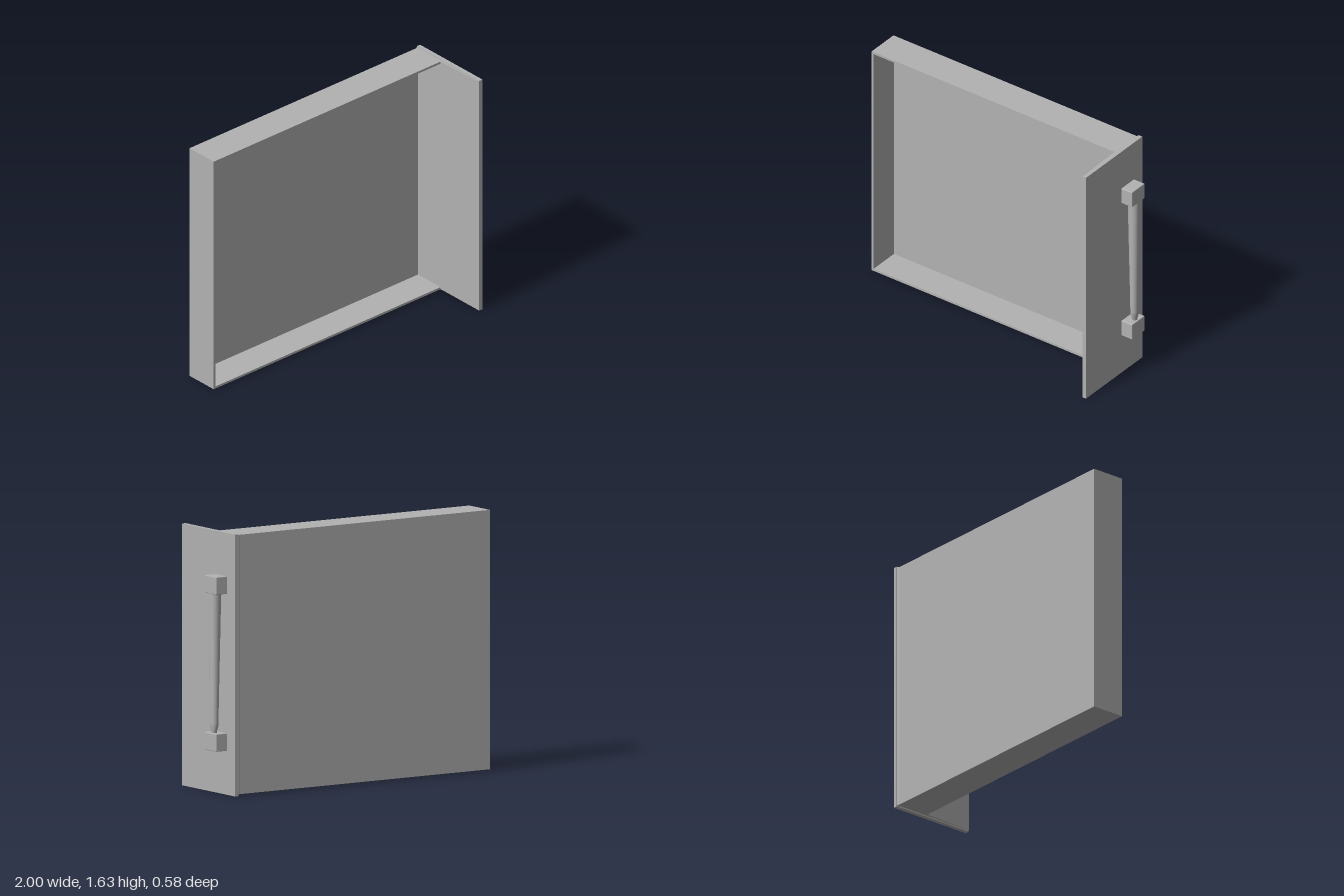
import * as THREE from 'three';
import { RoundedBoxGeometry } from 'three/addons/geometries/RoundedBoxGeometry.js';

const grey = new THREE.MeshStandardMaterial({ color: 0xb2b2b2 });
grey.name = 'light grey';
const dark = new THREE.MeshStandardMaterial({ color: 0x505050 });
dark.name = 'dark grey';

function createModel() {
  const group = new THREE.Group();
  const add = (name, geometry, material, x = 0, y = 0, z = 0) => {
    const mesh = new THREE.Mesh(geometry, material);
    mesh.name = name;
    mesh.position.set(x, y, z);
    group.add(mesh);
    return mesh;
  };
  // box given by its lower and upper corners
  const box = (name, a, b, material) => add(name,
    new THREE.BoxGeometry(b[0] - a[0], b[1] - a[1], b[2] - a[2]), material,
    (a[0] + b[0]) / 2, (a[1] + b[1]) / 2, (a[2] + b[2]) / 2);
  // plan outline [x, z] raised from y0 to y1
  const prism = (name, points, y0, y1) => {
    const shape = new THREE.Shape(points.map(([x, z]) => new THREE.Vector2(x, -z)));
    const geometry = new THREE.ExtrudeGeometry(shape, { depth: y1 - y0, bevelEnabled: false });
    geometry.rotateX(-Math.PI / 2);
    add(name, geometry, grey, 0, y0, 0);
  };
  const rect = (Type, x0, y0, x1, y1) => new Type([[x0, y0], [x1, y0], [x1, y1], [x0, y1]]
    .map(([x, y]) => new THREE.Vector2(x, y)));

  // shallow tray, open to the front
  const frame = rect(THREE.Shape, -1, 0.01, 0.89, 1.63);
  frame.holes.push(rect(THREE.Path, -0.985, 0.025, 0.875, 1.615));
  add('trayWalls', new THREE.ExtrudeGeometry(frame, { depth: 0.225, bevelEnabled: false }),
    grey, 0, 0, -0.28);
  box('trayBack', [-0.986, 0.024, -0.28], [0.876, 1.616, -0.265], grey);
  box('cornerPlate', [0.71, 1.55, -0.265], [0.874, 1.612, -0.258], dark);

  // side panel with its tapered inner rib
  box('sidePanel', [0.888, 0, -0.29], [0.915, 1.635, 0.29], grey);
  prism('panelRib', [[0.89, -0.289], [0.885, -0.289], [0.875, -0.28], [0.875, -0.055],
    [0.886, 0.289], [0.89, 0.289]], 0.01, 1.63);

  // handle mounts
  for (const [name, y] of [['upperHandleMount', 1.31], ['lowerHandleMount', 0.33]]) {
    add(name, new RoundedBoxGeometry(0.083, 0.11, 0.13, 2, 0.004), grey, 0.9555, y, -0.14);
  }

  // tapering handle grip: [y, centre x, half width in x, half width in z]
  const rings = [[0.38, 0.969, 0.016, 0.017], [0.395, 0.969, 0.017, 0.019],
    [0.425, 0.969, 0.024, 0.03], [0.45, 0.9687, 0.025, 0.03],
    [1.24, 0.9595, 0.038, 0.031], [1.26, 0.959, 0.039, 0.034]];
  const grip = new THREE.CylinderGeometry(1, 1, 1, 32, rings.length - 1, true);
  const p = grip.attributes.position;
  for (let i = 0; i < p.count; i++) {
    const row = Math.round((p.getY(i) + 0.5) * (rings.length - 1));
    const [y, cx, rx, rz] = rings[row];
    p.setXYZ(i, cx + p.getX(i) * rx, y, -0.14 + p.getZ(i) * rz);
  }
  grip.computeVertexNormals();
  add('handleGrip', grip, grey);

  return group;
}

export { createModel };
